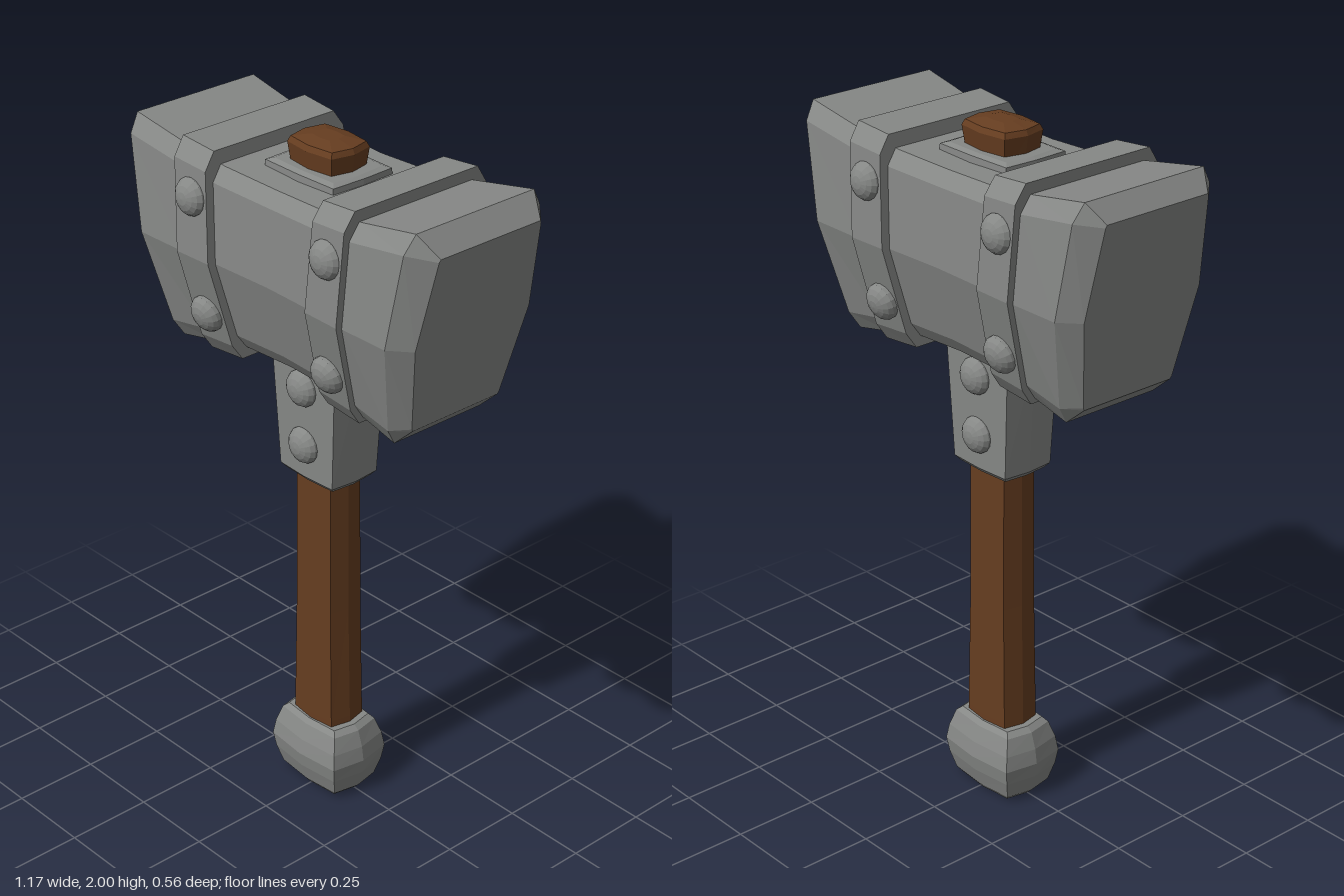
import * as THREE from 'three';

const steel = new THREE.MeshStandardMaterial({ color: 0x868886 });
steel.name = 'steel grey';
steel.flatShading = true;
const rivetSteel = steel; // rivets share the grey of the head
const wood = new THREE.MeshStandardMaterial({ color: 0x663d20 });
wood.name = 'brown wood';
wood.flatShading = true;

// Skin a list of equal-length rings and close both ends.
function loft(rings) {
  const n = rings[0].length;
  const pos = rings.flat(2);
  const index = [];
  for (let i = 0; i < rings.length - 1; i++) {
    for (let j = 0; j < n; j++) {
      const a = i * n + j, b = i * n + (j + 1) % n;
      index.push(a, b, b + n, a, b + n, a + n);
    }
  }
  const last = (rings.length - 1) * n;
  for (let j = 1; j < n - 1; j++) {
    index.push(0, j + 1, j, last, last + j, last + j + 1);
  }
  const g = new THREE.BufferGeometry();
  g.setAttribute('position', new THREE.Float32BufferAttribute(pos, 3));
  g.setIndex(index);
  const flat = g.toNonIndexed();
  flat.computeVertexNormals();
  return flat;
}

// Half outlines of the head as [height fraction, width fraction].
const bodyOutline = [[1, 0.82], [0.92, 0.95], [0.5, 1], [0.08, 0.75], [0, 0.62]];
const faceOutline = [[1, 0.86], [0.985, 0.88], [0.5, 1], [0.015, 0.78], [0, 0.76]];

// Slanted cross-section of the head: x runs from xTop down to xBottom.
function headRing(xTop, xBottom, yTop, yBottom, w, outline = bodyOutline) {
  const point = ([t, f], side) => [
    xBottom + (xTop - xBottom) * t, yBottom + (yTop - yBottom) * t, side * f * w];
  return [...outline.map(p => point(p, 1)), ...[...outline].reverse().map(p => point(p, -1))];
}

// Rectangle with slightly bulging sides, used along the shaft.
function shaftRing(y, hx, hz, c = 0.85) {
  return [[0, 1], [c, c], [1, 0], [c, -c], [0, -1], [-c, -c], [-1, 0], [-c, c]]
    .map(([x, z]) => [x * hx - 0.008, y, z * hz]);
}

const shaft = rows => loft(rows.map(r => shaftRing(...r)));

export function createModel() {
  const model = new THREE.Group();
  model.name = 'warHammer';
  const add = (name, geometry, material, parent = model) => {
    const mesh = new THREE.Mesh(geometry, material);
    mesh.name = name;
    parent.add(mesh);
    return mesh;
  };

  // Head with flared, bevelled striking faces
  add('head', loft([
    headRing(-0.588, -0.495, 1.908, 1.38, 0.2, faceOutline),
    headRing(-0.54, -0.43, 1.96, 1.325, 0.247),
    headRing(-0.34, -0.30, 1.925, 1.35, 0.238),
    headRing(-0.2, -0.18, 1.905, 1.375, 0.228),
    headRing(0, 0, 1.9, 1.38, 0.222),
    headRing(0.19, 0.165, 1.905, 1.375, 0.228),
    headRing(0.33, 0.285, 1.925, 1.35, 0.238),
    headRing(0.53, 0.412, 1.963, 1.325, 0.247),
    headRing(0.585, 0.477, 1.905, 1.385, 0.2, faceOutline),
  ]), steel);

  // Raised bands around the head
  add('rightBand', loft([
    headRing(-0.338, -0.303, 1.957, 1.335, 0.258),
    headRing(-0.218, -0.178, 1.947, 1.345, 0.254),
  ]), steel);
  add('leftBand', loft([
    headRing(0.203, 0.163, 1.947, 1.345, 0.254),
    headRing(0.323, 0.287, 1.957, 1.335, 0.258),
  ]), steel);

  // Plate where the shaft passes through the top of the head
  add('topPlate', shaft([
    [1.88, 0.137, 0.107, 0.97], [1.92, 0.135, 0.105, 0.97], [1.926, 0.12, 0.09, 0.95],
  ]), steel);

  // Wooden shaft and its flared tip
  add('shaft', shaft([
    [0.15, 0.092, 0.07], [0.24, 0.091, 0.07], [0.6, 0.083, 0.067], [1.05, 0.081, 0.064],
  ]), wood);
  add('shaftTip', shaft([
    [1.88, 0.086, 0.066], [1.975, 0.1, 0.078], [1.99, 0.093, 0.07], [2, 0.04, 0.03],
  ]), wood);

  // Collar below the head
  add('collar', shaft([
    [1.01, 0.1, 0.075, 0.93], [1.025, 0.113, 0.088, 0.93],
    [1.38, 0.134, 0.098, 0.93], [1.42, 0.136, 0.1, 0.93],
  ]), steel);

  // Pommel
  add('pommel', shaft([
    [0, 0.11, 0.075, 0.88], [0.016, 0.127, 0.088, 0.88], [0.07, 0.143, 0.105, 0.88],
    [0.115, 0.15, 0.113, 0.88], [0.16, 0.143, 0.105, 0.88],
    [0.208, 0.127, 0.088, 0.88], [0.222, 0.11, 0.075, 0.88],
  ]), steel);

  // Domed rivets on front and back: x, y, z, downward tilt
  const dome = new THREE.LatheGeometry([
    [0.053, -0.025], [0.053, 0.008], [0.046, 0.02], [0.034, 0.029], [0.018, 0.035], [0, 0.037],
  ].map(p => new THREE.Vector2(...p)), 16);
  const rivets = [
    [-0.27, 1.815, 0.243, -0.05], [0.255, 1.815, 0.243, -0.05],
    [-0.25, 1.475, 0.216, 0.24], [0.23, 1.475, 0.216, 0.24],
    [-0.008, 1.3, 0.092, 0], [-0.008, 1.125, 0.086, 0],
  ];
  for (const side of [1, -1]) {
    const group = new THREE.Group();
    group.name = side > 0 ? 'frontRivets' : 'backRivets';
    group.rotation.y = side > 0 ? 0 : Math.PI;
    for (const [x, y, z, tilt] of rivets) {
      const rivet = add('rivet', dome, rivetSteel, group);
      rivet.position.set(side * x, y, z);
      rivet.rotation.x = Math.PI / 2 + tilt;
    }
    model.add(group);
  }
  return model;
}
